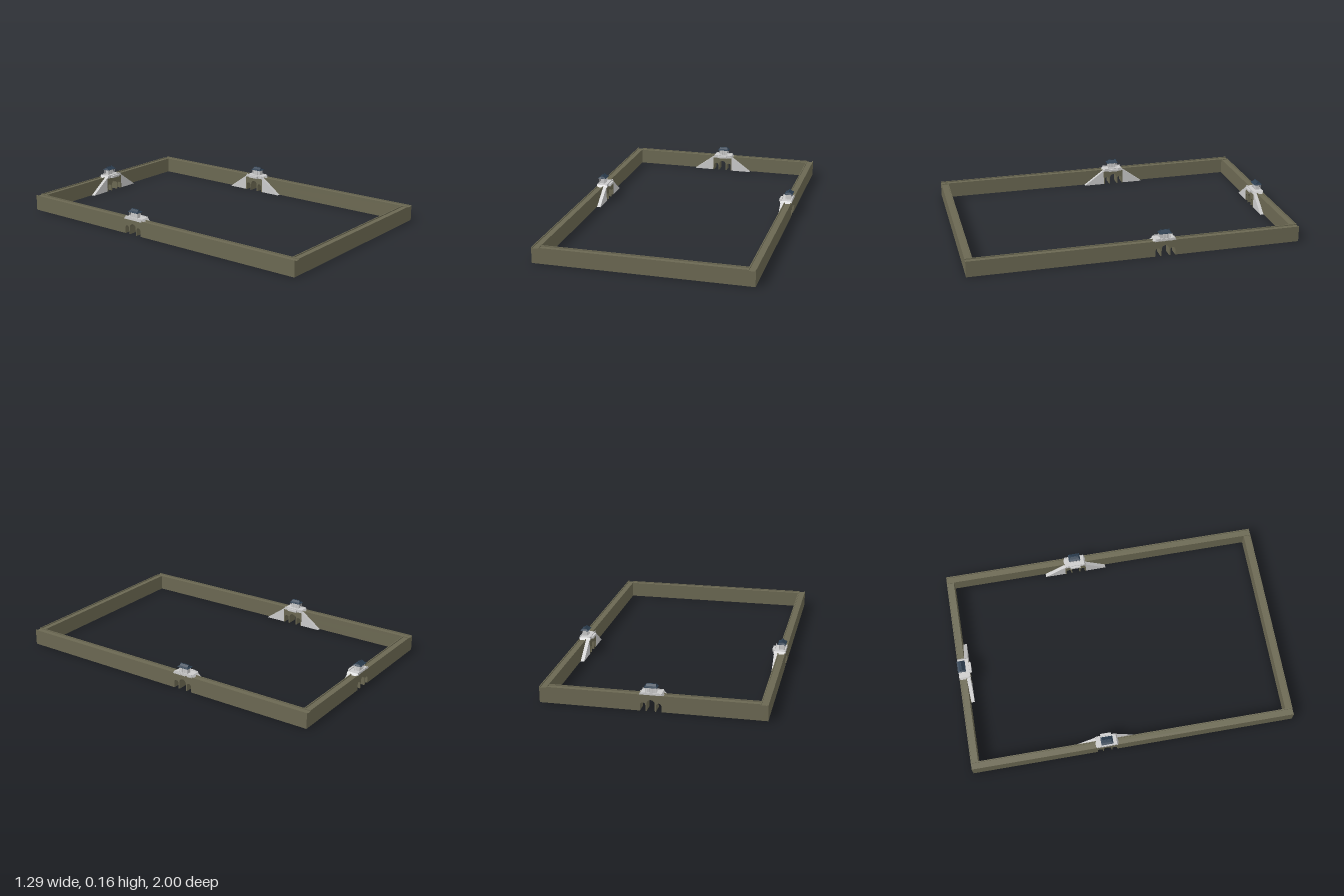
import * as THREE from 'three';

const mat = (color) => new THREE.MeshStandardMaterial({ color, flatShading: true, side: THREE.DoubleSide });
const T = 0.045;      // wall thickness
const WALK = 0.09;    // height of the wall walk
const TOP = 0.096;    // height of the parapets
const ARCHES = [[-0.045, 0.03, 0.05], [0, 0.046, 0.067], [0.045, 0.03, 0.05]]; // centre, width, height

export function createModel() {
  const model = new THREE.Group();
  model.name = 'walledEnclosure';
  const stone = mat(0x6b6852), pale = mat(0xcccccc), slate = mat(0x2c3e50);

  const add = (parent, name, geometry, material, x = 0, y = 0, z = 0) => {
    const mesh = new THREE.Mesh(geometry, material);
    mesh.name = name;
    mesh.position.set(x, y, z);
    parent.add(mesh);
    return mesh;
  };
  const box = (parent, name, material, w, h, d, x, y, z) =>
    add(parent, name, new THREE.BoxGeometry(w, h, d), material, x, y + h / 2, z);
  const extrude = (shape, depth) =>
    new THREE.ExtrudeGeometry(shape, { depth, bevelEnabled: false, curveSegments: 8 });
  const polygon = (points) => new THREE.Shape(points.map(([x, y]) => new THREE.Vector2(x, y)));

  // Upright slab whose foot is cut by the three arches of a gate
  function archedSlab(u0, u1, height, gateU, depth) {
    const s = new THREE.Shape();
    s.moveTo(u0, 0);
    if (gateU !== null) for (const [c, w, h] of ARCHES) {
      const r = w / 2, x = gateU + c;
      s.lineTo(x - r, 0);
      s.lineTo(x - r, h - r);
      s.absarc(x, h - r, r, Math.PI, 0, true);
      s.lineTo(x + r, 0);
    }
    s.lineTo(u1, 0);
    s.lineTo(u1, height);
    s.lineTo(u0, height);
    s.closePath();
    return extrude(s, depth);
  }

  // Solid through rectangular rings given as [halfWidth, y, halfDepth]
  function stackedRings(rings) {
    const pos = [], index = [];
    for (const [a, y, b] of rings) pos.push(-a, y, b, a, y, b, a, y, -b, -a, y, -b);
    for (let r = 0; r < rings.length - 1; r++) for (let k = 0; k < 4; k++) {
      const a = r * 4 + k, b = r * 4 + (k + 1) % 4;
      index.push(a, b, b + 4, a, b + 4, a + 4);
    }
    const n = (rings.length - 1) * 4;
    index.push(0, 2, 1, 0, 3, 2, n, n + 1, n + 2, n, n + 2, n + 3);
    const g = new THREE.BufferGeometry();
    g.setAttribute('position', new THREE.Float32BufferAttribute(pos, 3));
    g.setIndex(index);
    g.computeVertexNormals();
    return g;
  }

  // Gate: inner arcade, ramps, platform and pavilion; local +z points into the enclosure
  function makeGate() {
    const gate = new THREE.Group();
    gate.name = 'gate';
    add(gate, 'innerArcade', archedSlab(-0.067, 0.067, 0.095, 0, 0.023), stone, 0, 0, T);
    for (const s of [-1, 1]) {
      const ramp = polygon([[s * 0.067, 0], [s * 0.197, 0], [s * 0.067, 0.095]]);
      add(gate, 'ramp', extrude(ramp, 0.022), pale, 0, 0, T);
    }
    const deck = polygon([[-0.07, 0.09], [0.07, 0.09], [0.06, 0.104], [-0.06, 0.104]]);
    add(gate, 'platform', extrude(deck, 0.07), pale, 0, 0, 0);
    box(gate, 'balcony', pale, 0.066, 0.014, 0.014, 0, 0.09, 0.075);
    for (const z of [0.003, 0.067]) box(gate, 'railing', pale, 0.12, 0.006, 0.004, 0, 0.103, z);

    // Pavilion with columns
    box(gate, 'pavilion', pale, 0.05, 0.036, 0.026, 0, 0.104, 0.025);
    for (const x of [-0.029, -0.01, 0.01, 0.029]) for (const z of [0.009, 0.041])
      add(gate, 'column', new THREE.CylinderGeometry(0.002, 0.002, 0.036, 6), pale, x, 0.122, z);
    box(gate, 'lintel', pale, 0.062, 0.005, 0.036, 0, 0.135, 0.025);

    // Flared roof with ridge
    add(gate, 'roof', stackedRings([[0.037, 0.138, 0.025], [0.037, 0.14, 0.025],
      [0.029, 0.146, 0.014], [0.027, 0.155, 0.002]]), slate, 0, 0, 0.025);
    box(gate, 'ridge', slate, 0.058, 0.004, 0.004, 0, 0.153, 0.025);
    return gate;
  }

  // One side of the wall; gateU is the gate position along it, or null
  function makeSide(name, half, gateU, x, z, turn) {
    const side = new THREE.Group();
    side.name = name;
    add(side, 'wall', archedSlab(-half, half, WALK, gateU, T), stone);
    box(side, 'outerParapet', stone, 2 * half, TOP - WALK, 0.006, 0, WALK, 0.003);
    box(side, 'innerParapet', stone, 2 * half, TOP - WALK, 0.006, 0, WALK, T - 0.003);
    if (gateU !== null) {
      const gate = makeGate();
      gate.position.x = gateU;
      side.add(gate);
    }
    side.position.set(x, 0, z);
    side.rotation.y = turn;
    model.add(side);
  }

  const X = 0.643;
  makeSide('leftSide', 1, -0.165, X, 0, -Math.PI / 2);
  makeSide('rightSide', 1, 0.165, -X, 0, Math.PI / 2);
  makeSide('backSide', X - T, 0.006, 0, -1, 0);
  makeSide('frontSide', X - T, null, 0, 1, Math.PI);
  return model;
}
